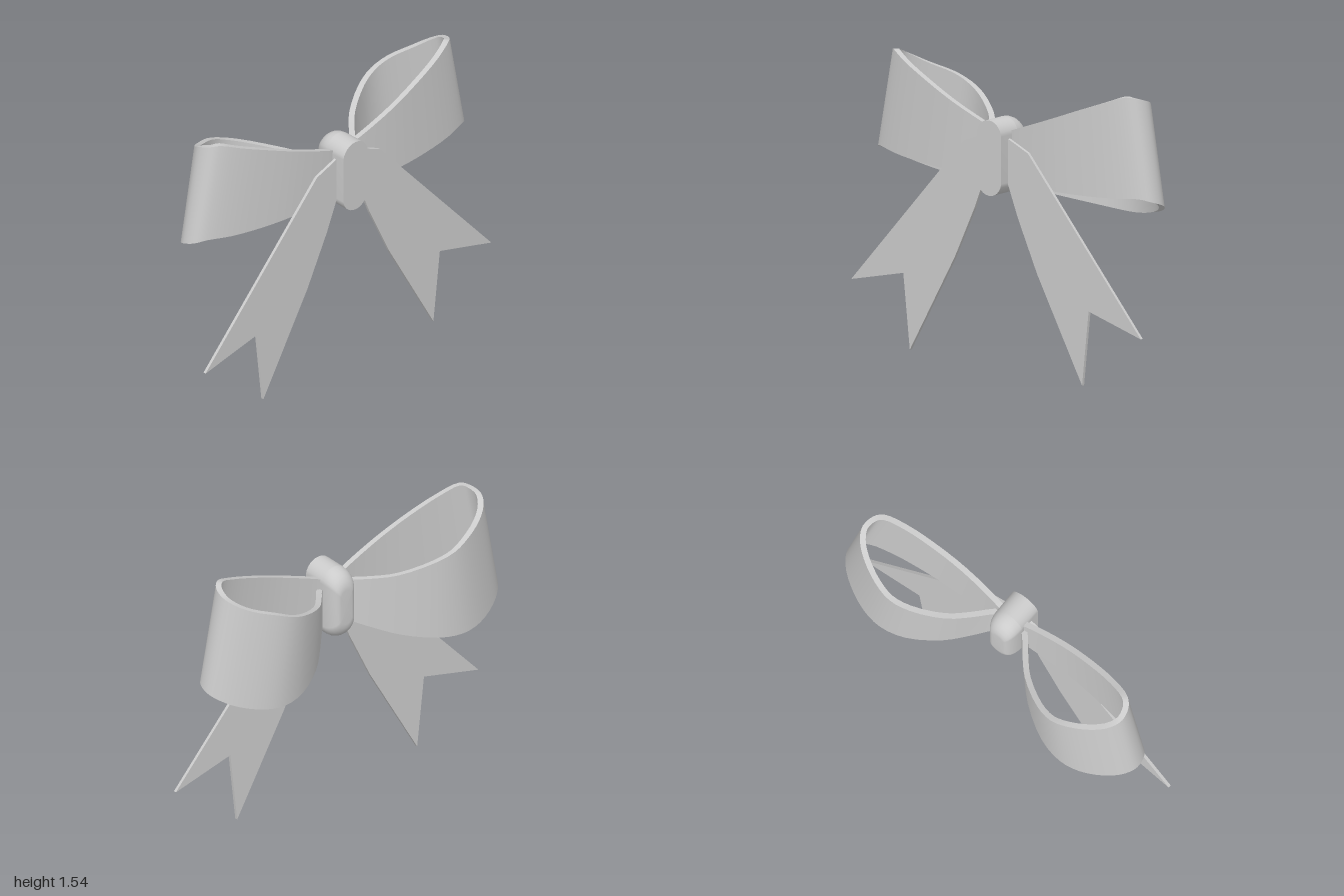
import * as THREE from 'three';
import { mergeGeometries, mergeVertices } from 'three/addons/utils/BufferGeometryUtils.js';

const material = new THREE.MeshStandardMaterial({ color: 0xcccccc });

// Smooth surface through rows of points (all rows of equal length).
function grid(rows) {
  const n = rows[0].length, index = [];
  for (let i = 0; i < rows.length - 1; i++) {
    for (let j = 0; j < n - 1; j++) {
      const a = i * n + j, c = a + n;
      index.push(a, a + 1, c + 1, a, c + 1, c);
    }
  }
  let g = new THREE.BufferGeometry().setFromPoints(rows.flat());
  g.setIndex(index);
  g = mergeVertices(g, 1e-5);
  g.computeVertexNormals();
  return g;
}

function add(group, geometry, name) {
  const mesh = new THREE.Mesh(geometry, material);
  mesh.name = name;
  group.add(mesh);
}

// Ribbon loop stations, outer face: x, top z, top y, bottom z, bottom y
const STATIONS = [
  [0.14, 0.04, 1.25, 0.04, 1.0],
  [0.15, 0.12, 1.28, 0.12, 0.99],
  [0.156, 0.33, 1.36, 0.36, 0.99],
  [0.14, 0.52, 1.435, 0.57, 0.995],
  [0.11, 0.69, 1.5, 0.76, 1.005],
  [0.07, 0.8, 1.54, 0.89, 1.015],
  [0.03, 0.84, 1.53, 0.945, 1.0],
  [-0.04, 0.855, 1.51, 0.955, 0.975],
  [-0.1, 0.825, 1.48, 0.92, 0.945],
  [-0.16, 0.75, 1.44, 0.84, 0.905],
  [-0.215, 0.63, 1.4, 0.71, 0.868],
  [-0.23, 0.53, 1.36, 0.59, 0.855],
  [-0.2, 0.42, 1.32, 0.45, 0.865],
  [-0.1, 0.26, 1.26, 0.28, 0.9],
  [0.0, 0.165, 1.23, 0.175, 0.935],
  [0.09, 0.09, 1.21, 0.09, 0.97],
  [0.13, 0.04, 1.2, 0.04, 1.0],
];

// Outer and inner edge lines of the ribbon at its top or bottom rim.
function rim(zCol, yCol, side) {
  const curve = new THREE.CatmullRomCurve3(
    STATIONS.map((s) => new THREE.Vector3(s[0], s[yCol], s[zCol])), false, 'centripetal');
  const outer = [], inner = [];
  for (let i = 0; i <= 48; i++) {
    const p = curve.getPoint(i / 48), t = curve.getTangent(i / 48);
    const k = 0.03 / Math.hypot(t.x, t.z);
    outer.push(new THREE.Vector3(p.x, p.y, p.z * side));
    inner.push(new THREE.Vector3(p.x - t.z * k, p.y, (p.z + t.x * k) * side));
  }
  return side > 0 ? [outer, inner] : [outer.reverse(), inner.reverse()];
}

function loopGeometry(side) {
  const [topOut, topIn] = rim(1, 2, side);
  const [botOut, botIn] = rim(3, 4, side);
  return mergeGeometries([
    grid([topOut, botOut]), grid([botOut, botIn]),
    grid([botIn, topIn]), grid([topIn, topOut]),
  ]);
}

// Flat swallow-tailed ribbon end, drawn as (sideways, up)
function tailGeometry(side) {
  const shape = new THREE.Shape([
    [0.0, 1.26], [0.085, 1.225], [0.22, 1.17], [1.0, 0.31], [0.64, 0.4], [0.595, 0],
    [0.285, 0.54], [0.15, 0.82], [0.085, 0.98], [0.0, 1.12],
  ].map(([z, y]) => new THREE.Vector2(z, y)));
  return new THREE.ExtrudeGeometry(shape, { depth: 0.016, bevelEnabled: false })
    .rotateY(-side * Math.PI / 2)
    .translate(side > 0 ? 0.176 : 0.16, 0, 0);
}

// Oblong knot: domed towards -x, flat at +x
function knotRing(x, halfWidth, halfHeight) {
  const points = [], straight = halfHeight - halfWidth;
  for (let i = 0; i <= 26; i++) {
    const a = i / 26 * Math.PI * 2, c = Math.cos(a);
    points.push(new THREE.Vector3(x, 1.12 + Math.sign(c) * straight + halfWidth * c,
      halfWidth * Math.sin(a)));
  }
  return points;
}

function knotGeometry() {
  const centre = (x) => Array.from({ length: 27 }, () => new THREE.Vector3(x, 1.12, 0));
  const rows = [centre(0)];
  for (let i = 0; i <= 6; i++) {
    const a = i / 6 * Math.PI / 2;
    rows.push(knotRing(0.1 * (1 - Math.sin(a)) , 0.085 - 0.05 * (1 - Math.cos(a)),
      0.2 - 0.1 * (1 - Math.cos(a))));
  }
  const dome = [rows[0], ...rows.slice(1).reverse()];
  const end = knotRing(0.23, 0.085, 0.2);
  return mergeGeometries([
    grid(dome),
    grid([knotRing(0.1, 0.085, 0.2), end]),
    grid([end, centre(0.23)]),
  ]);
}

export function createModel() {
  const group = new THREE.Group();
  group.name = 'ribbonBow';
  add(group, knotGeometry(), 'knot');
  for (const [side, label] of [[1, 'left'], [-1, 'right']]) {
    add(group, loopGeometry(side), label + 'Loop');
    add(group, tailGeometry(side), label + 'Tail');
  }
  return group;
}
